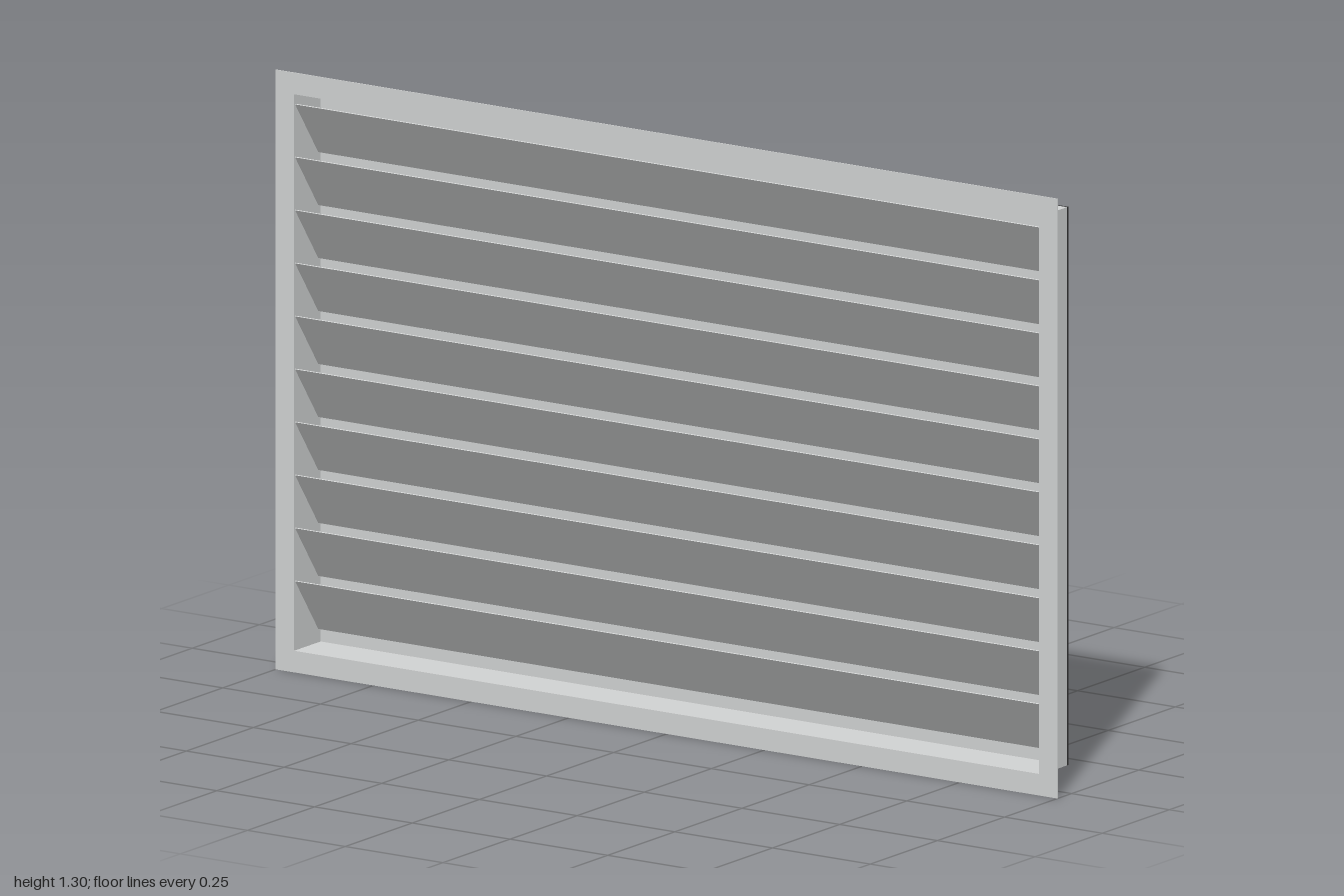
import * as THREE from 'three';

export function createModel() {
  const group = new THREE.Group();
  const frameGrey = new THREE.MeshStandardMaterial({ color: 0xd0d2d2 });
  frameGrey.name = 'light metal grey';
  const backDark = new THREE.MeshStandardMaterial({ color: 0x333333 });
  backDark.name = 'back dark';

  const height = 1.303, midY = height / 2;
  const innerW = 1.91, innerH = 1.213;
  const front = 0.053, back = -0.053, sheet = 0.005;

  function add(name, geometry, material, x, y, z) {
    const mesh = new THREE.Mesh(geometry, material);
    mesh.name = name;
    mesh.position.set(x, y, z);
    group.add(mesh);
    return mesh;
  }

  function rectangle(Kind, w, h) {
    const p = [[-w, -h], [w, -h], [w, h], [-w, h]];
    return new Kind(p.map(([x, y]) => new THREE.Vector2(x / 2, y / 2)));
  }

  // Rectangular ring extruded along z
  function ring(w, h, holeW, holeH, depth) {
    const shape = rectangle(THREE.Shape, w, h);
    shape.holes.push(rectangle(THREE.Path, holeW, holeH));
    return new THREE.ExtrudeGeometry(shape, { depth, bevelEnabled: false });
  }

  // Thin front flange and the duct walls behind it
  add('frontFlange', ring(2, height, innerW - 0.004, innerH - 0.004, 0.002), frameGrey, 0, midY, front - 0.002);
  add('ductWalls', ring(innerW, innerH, innerW - 0.004, innerH - 0.004, front - back - 0.002 - sheet),
    frameGrey, 0, midY, back + sheet);

  // Light inner panel with a dark sheet on its outside
  add('innerPanel', new THREE.BoxGeometry(innerW - 0.004, innerH - 0.004, 0.002), frameGrey,
    0, midY, back + sheet + 0.001);
  add('backSheet', new THREE.BoxGeometry(innerW, innerH, sheet), backDark, 0, midY, back + sheet / 2);

  // Ten slats, high at the front and low at the back, slightly overlapping in height
  const count = 10, top = 1.234, bottom = 0.077, rise = 0.121;
  const zFront = 0.049, zBack = -0.037, run = zFront - zBack;
  const pitch = (top - bottom - rise) / (count - 1);
  const slat = new THREE.BoxGeometry(innerW - 0.005, Math.hypot(rise, run), 0.002);
  for (let i = 0; i < count; i++) {
    const y = top - rise / 2 - i * pitch;
    add('slat' + (i + 1), slat, frameGrey, 0, y, (zFront + zBack) / 2).rotation.x = Math.atan2(run, rise);
  }

  return group;
}
